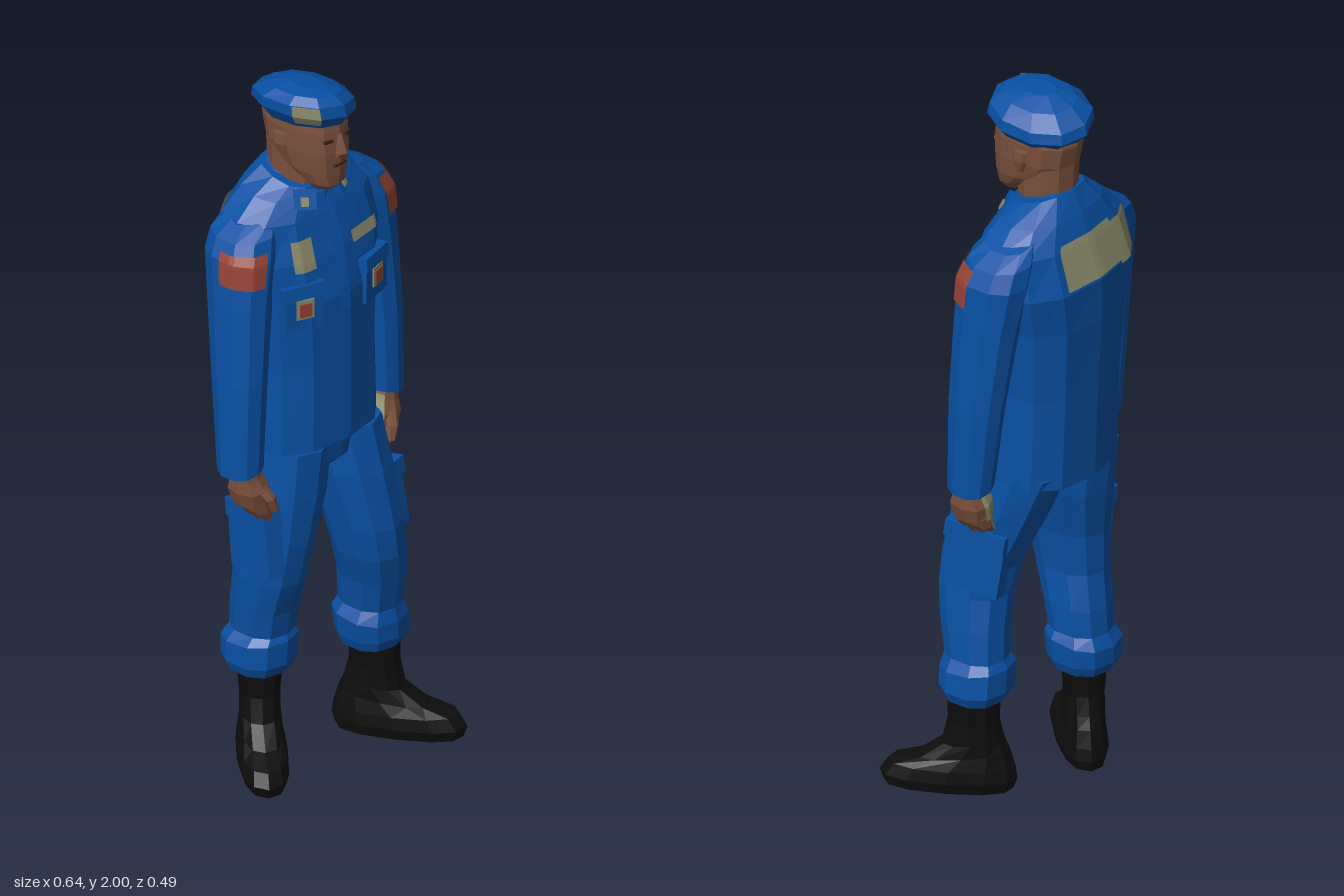
import * as THREE from 'three';

const mat = (name, color, side = THREE.FrontSide) => {
  const m = new THREE.MeshStandardMaterial({ color, flatShading: true, side });
  m.name = name;
  return m;
};

// A ring is [y, cx, cz, rx, rz, slope along z, slope along x]
const ringPoint = (r, i, n, p, off) => {
  const a = (i / n) * Math.PI * 2;
  const pw = (v) => Math.sign(v) * Math.pow(Math.abs(v), 2 / p);
  const dx = (r[3] + off) * pw(Math.sin(a)), dz = (r[4] + off) * pw(Math.cos(a));
  return new THREE.Vector3(r[1] + dx, r[0] + dz * (r[5] || 0) + dx * (r[6] || 0), r[2] + dz);
};

function geometry(points, index) {
  const g = new THREE.BufferGeometry().setFromPoints(points);
  g.setIndex(index);
  g.computeVertexNormals();
  return g;
}

// Closed faceted skin over rings listed from bottom to top
function loft(rings, n = 10, p = 2.2) {
  const pts = [], idx = [];
  for (const r of rings) for (let i = 0; i < n; i++) pts.push(ringPoint(r, i, n, p, 0));
  for (let j = 0; j < rings.length - 1; j++) for (let i = 0; i < n; i++) {
    const a = j * n + i, b = j * n + ((i + 1) % n);
    idx.push(a, b, b + n, a, b + n, a + n);
  }
  const last = rings.length - 1, top = last * n, c = pts.length;
  for (const r of [rings[0], rings[last]]) pts.push(new THREE.Vector3(r[1], r[0], r[2]));
  for (let i = 0; i < n; i++) {
    const k = (i + 1) % n;
    idx.push(c, k, i, c + 1, top + i, top + k);
  }
  return geometry(pts, idx);
}

// Thin patch lying just over part of a loft, sides s0..s1 and heights y0..y1
function patch(rings, n, p, s0, s1, y0, y1, off = 0.006, d = 10) {
  const pts = [], idx = [];
  for (let j = 0; j <= d; j++) {
    const y = y0 + ((y1 - y0) * j) / d;
    let k = 0;
    while (k < rings.length - 2 && rings[k + 1][0] < y) k++;
    const t = (y - rings[k][0]) / (rings[k + 1][0] - rings[k][0]);
    for (let i = 0; i <= d; i++) {
      const s = s0 + ((s1 - s0) * i) / d, f = Math.floor(s);
      const at = (r) => ringPoint(r, f, n, p, off).lerp(ringPoint(r, f + 1, n, p, off), s - f);
      pts.push(at(rings[k]).lerp(at(rings[k + 1]), t));
    }
  }
  for (let j = 0; j < d; j++) for (let i = 0; i < d; i++) {
    const a = j * (d + 1) + i, b = a + d + 1;
    idx.push(a, a + 1, b + 1, a, b + 1, b);
  }
  return geometry(pts, idx);
}

export function createModel() {
  const root = new THREE.Group();
  root.name = 'uniformedMan';
  const blue = mat('uniformBlue', 0x0850a3), black = mat('bootBlack', 0x0d0d0d);
  const skin = mat('skin', 0x7a503c), dark = mat('darkBrown', 0x35211a);
  const tan = mat('patchTan', 0x8c8b6c, THREE.DoubleSide), red = mat('patchRed', 0x964336, THREE.DoubleSide);
  const add = (name, geo, m, parent = root) => {
    const mesh = new THREE.Mesh(geo, m);
    mesh.name = name;
    parent.add(mesh);
    return mesh;
  };
  const box = (name, size, pos, m, rot = [0, 0, 0]) => {
    const b = add(name, new THREE.BoxGeometry(...size), m);
    b.position.set(...pos);
    b.rotation.set(...rot);
  };

  // Jacket
  const torso = [
    [0.948, -0.005, -0.055, 0.205, 0.165, 0.13], [1.2, -0.005, -0.06, 0.2, 0.17],
    [1.4, -0.005, -0.067, 0.215, 0.176], [1.52, 0, -0.08, 0.24, 0.165],
    [1.63, 0, -0.078, 0.23, 0.128], [1.685, -0.005, -0.073, 0.165, 0.105, -0.1],
    [1.725, -0.012, -0.06, 0.1, 0.085, -0.3]];
  add('jacket', loft(torso, 12, 2.5), blue);
  add('buttonPlacket', patch(torso, 12, 2.5, -0.25, 0, 0.97, 1.62), blue);
  add('collar', loft([[1.67, -0.015, -0.055, 0.105, 0.095, -0.25],
    [1.715, -0.017, -0.05, 0.088, 0.085, -0.42], [1.722, -0.017, -0.05, 0.07, 0.065, -0.42]], 10), blue);
  for (const s of [-1, 1]) {
    box('collarPoint', [0.06, 0.055, 0.02], [s * 0.065 - 0.015, 1.675, 0.022], blue, [-0.5, s * 0.45, s * 0.35]);
    box('collarPin', [0.02, 0.024, 0.008], [s * 0.075 - 0.015, 1.675, 0.032], tan, [-0.5, s * 0.45, s * 0.35]);
    const x = s > 0 ? 0.11 : -0.135, z = s > 0 ? 0.072 : 0.056, turn = s > 0 ? 0.25 : -0.4;
    box('chestPocket', [0.11, 0.1, 0.05], [x, 1.385, z], blue, [0, turn, 0]);
    box('chestPocketFlap', [0.12, 0.038, 0.058], [x, 1.445, z], blue, [-0.1, turn, 0]);
    box('pocketBadge', [0.05, 0.055, 0.006], [x + s * 0.008, 1.398, z + 0.026], tan, [0, turn, 0]);
    box('pocketBadgeCentre', [0.034, 0.038, 0.006], [x + s * 0.009, 1.396, z + 0.029], red, [0, turn, 0]);
  }
  add('nameTape', patch(torso, 12, 2.5, 0.28, 1.16, 1.52, 1.552), tan);
  add('chestBadge', patch(torso, 12, 2.5, -1.25, -0.7, 1.5, 1.585), tan);
  add('backPanel', patch(torso, 12, 2.5, 5.15, 6.7, 1.53, 1.645), tan);
  add('backPanelEnd', patch(torso, 12, 2.5, 6.7, 7.75, 1.52, 1.635), tan);

  // Sleeves, arm patches and hands
  for (const s of [-1, 1]) {
    const side = s > 0 ? 'left' : 'right', lift = s > 0 ? 0.015 : 0;
    const arm = [
      [0.94 + lift, s * 0.272, -0.028, 0.052, 0.062, 0, -s * 0.25], [1.2, s * 0.262, -0.04, 0.058, 0.078],
      [1.42, s * 0.243, -0.056, 0.068, 0.09], [1.55 + lift, s * 0.222, -0.068, 0.08, 0.1],
      [1.61 + lift, s * 0.2, -0.075, 0.08, 0.092, 0, -s * 0.15],
      [1.65 + lift, s * 0.165, -0.078, 0.06, 0.07, 0, -s * 0.35]];
    add(side + 'Sleeve', loft(arm, 10, 2.3), blue);
    const [s0, s1] = s > 0 ? [0, 2.1] : [-2.6, -0.25];
    add(side + 'ArmPatch', patch(arm, 10, 2.3, s0, s1, 1.485 + lift, 1.58 + lift * 2.5), red);

    const hand = new THREE.Group();
    hand.name = side + 'Hand';
    hand.position.set(s * 0.266, 0.938 + lift, -0.015);
    hand.rotation.z = -s * 0.19;
    root.add(hand);
    const palm = [[-0.1, 0, 0, 0.037, 0.052], [-0.055, 0, 0, 0.043, 0.056],
      [-0.02, 0, 0, 0.036, 0.042], [0.03, 0, 0, 0.03, 0.034]];
    add('palm', loft(palm, 8, 2.6), skin, hand);
    if (s > 0) add('palmPanel', patch(palm, 8, 2.6, 3.7, 7, -0.1, -0.005, 0.004), tan, hand);
    for (let i = 0; i < 4; i++) {
      const z = -0.04 + i * 0.026, len = [0.055, 0.07, 0.076, 0.068][i];
      const finger = [[-0.09 - len, -s * 0.016, z, 0.012, 0.011], [-0.125, -s * 0.004, z, 0.022, 0.014],
        [-0.09, 0, z, 0.026, 0.014]];
      add('finger', loft(finger, 6), skin, hand);
      if (s > 0) add('fingerPanel', patch(finger, 6, 2.2, 3, 5.5, -0.088 - len, -0.09, 0.003, 4), tan, hand);
    }
    add('thumb', loft([[-0.12, -s * 0.018, 0.064, 0.012, 0.011], [-0.08, -s * 0.012, 0.058, 0.018, 0.015],
      [-0.035, 0, 0.03, 0.018, 0.015]], 6), skin, hand);
  }

  // Trousers
  add('hips', loft([[0.84, 0, -0.045, 0.03, 0.06], [0.9, -0.002, -0.05, 0.17, 0.13],
    [1.0, -0.005, -0.055, 0.19, 0.15]], 12, 2.5), blue);
  add('rightTrouserLeg', loft([
    [0.27, -0.125, -0.095, 0.08, 0.08], [0.3, -0.125, -0.095, 0.093, 0.095],
    [0.36, -0.122, -0.095, 0.094, 0.098, 0.1], [0.385, -0.118, -0.09, 0.076, 0.085],
    [0.46, -0.12, -0.08, 0.08, 0.09], [0.56, -0.128, -0.055, 0.078, 0.1],
    [0.68, -0.122, -0.045, 0.083, 0.115], [0.82, -0.104, -0.048, 0.1, 0.135],
    [0.96, -0.095, -0.055, 0.1, 0.15]], 10, 2.4), blue);
  add('leftTrouserLeg', loft([
    [0.27, 0.172, 0.03, 0.082, 0.08], [0.3, 0.172, 0.03, 0.094, 0.093],
    [0.36, 0.165, 0.03, 0.094, 0.095, -0.1], [0.39, 0.165, 0.032, 0.075, 0.085],
    [0.48, 0.155, 0.045, 0.078, 0.092], [0.57, 0.135, 0.055, 0.085, 0.1],
    [0.66, 0.122, 0.045, 0.088, 0.11], [0.82, 0.105, -0.005, 0.1, 0.135],
    [0.96, 0.095, -0.05, 0.1, 0.15]], 10, 2.4), blue);
  for (const s of [-1, 1]) {
    const z = s > 0 ? 0.015 : -0.045;
    box('cargoPocket', [0.05, 0.18, 0.165], [s * 0.192, 0.69, z], blue, [-0.15, s * 0.2, s * 0.06]);
    box('cargoPocketFlap', [0.056, 0.05, 0.172], [s * 0.193, 0.765, z - 0.008], blue, [-0.15, s * 0.2, s * 0.06]);
  }

  // Boots, toes turned outwards
  const boot = [
    [0, 0, 0.064, 0.06, 0.17], [0.03, 0, 0.064, 0.067, 0.18], [0.065, 0, 0.055, 0.064, 0.166],
    [0.1, 0, 0.025, 0.056, 0.122, -0.12], [0.14, 0, 0, 0.054, 0.082, -0.1], [0.2, 0, -0.002, 0.054, 0.068],
    [0.3, 0, -0.002, 0.062, 0.07]];
  for (const [name, x, z, turn] of [['rightBoot', -0.125, -0.092, -0.74], ['leftBoot', 0.182, 0.033, 0.5]]) {
    const b = add(name, loft(boot, 12, 2.4), black);
    b.position.set(x, 0, z);
    b.rotation.y = turn;
  }

  // Neck, head and face
  add('neck', loft([[1.64, -0.018, -0.06, 0.07, 0.075], [1.74, -0.018, -0.058, 0.07, 0.08],
    [1.82, -0.018, -0.055, 0.072, 0.088]], 10), skin);
  add('head', loft([
    [1.708, -0.018, 0.04, 0.04, 0.035], [1.728, -0.018, 0.03, 0.056, 0.056, -0.15],
    [1.765, -0.018, -0.002, 0.074, 0.092, -0.1], [1.82, -0.018, -0.024, 0.083, 0.118],
    [1.88, -0.018, -0.032, 0.086, 0.122], [1.94, -0.018, -0.03, 0.078, 0.11]], 12, 2.3), skin);
  add('nose', loft([[1.808, -0.018, 0.088, 0.018, 0.015], [1.82, -0.018, 0.093, 0.019, 0.022],
    [1.87, -0.018, 0.084, 0.009, 0.012]], 6), skin);
  box('mouth', [0.042, 0.006, 0.008], [-0.018, 1.782, 0.09], dark);
  for (const s of [-1, 1]) {
    box('eye', [0.026, 0.008, 0.008], [-0.018 + s * 0.036, 1.858, 0.082], dark, [0, s * 0.3, 0]);
    add('ear', loft([[1.8, -0.018 + s * 0.084, -0.03, 0.007, 0.012],
      [1.835, -0.018 + s * 0.09, -0.035, 0.012, 0.022], [1.865, -0.018 + s * 0.091, -0.038, 0.01, 0.022]], 6), skin);
  }

  // Beret drooping towards its left
  const beret = [
    [1.893, -0.02, -0.028, 0.09, 0.122, 0.06, -0.08], [1.925, -0.024, -0.03, 0.114, 0.149, 0.06, -0.15],
    [1.955, -0.026, -0.03, 0.112, 0.142, 0.08, -0.15], [1.982, -0.032, -0.02, 0.08, 0.105, 0.05, -0.12],
    [1.997, -0.038, -0.015, 0.035, 0.05, 0, -0.08]];
  add('beret', loft(beret, 10, 2.1), blue);
  add('beretBadge', patch(beret, 10, 2.1, -1.9, -1, 1.905, 1.955, 0.005), tan);
  return root;
}
